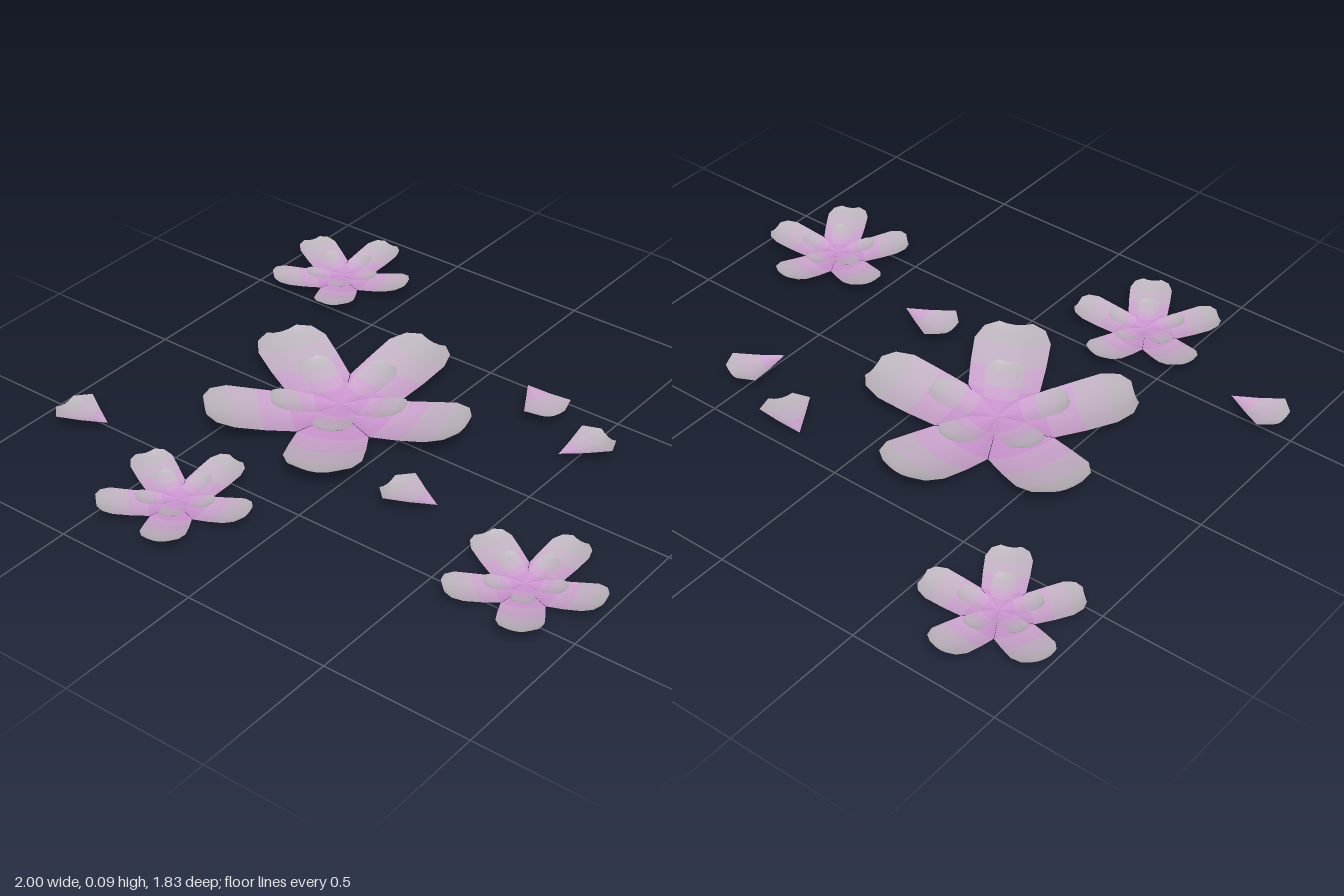
import * as THREE from 'three';

const paint = (color) => new THREE.MeshStandardMaterial({ color, side: THREE.DoubleSide });
// shades from the heart of a blossom to its petal tips
const shades = [0xcb95cf, 0xc9a2cb, 0xc0aec1, 0xbab2ba].map(paint);
const SIDES = 4;

// Cupped petal along +x; each row is [distance, half width, height, shade]
function petalGeometry(rows, cup) {
  const pos = [], index = [];
  const geo = new THREE.BufferGeometry();
  rows.forEach(([r, half, y], i) => {
    for (let j = 0; j <= SIDES; j++) {
      const t = (j / SIDES) * 2 - 1;
      pos.push(r, y + cup * half * t * t, half * t);
    }
    if (i === 0) return;
    const start = index.length;
    for (let j = 0; j < SIDES; j++) {
      const a = (i - 1) * (SIDES + 1) + j, b = a + SIDES + 1;
      if (rows[i - 1][1] > 0) index.push(a, a + 1, b);
      index.push(a + 1, b + 1, b);
    }
    geo.addGroup(start, index.length - start, rows[i][3]);
  });
  geo.setAttribute('position', new THREE.Float32BufferAttribute(pos, 3));
  geo.setIndex(index);
  geo.computeVertexNormals();
  return geo;
}

const outerPetal = petalGeometry([
  [0, 0, 0, 0], [0.16, 0.115, 0.002, 0], [0.26, 0.122, 0.022, 1],
  [0.355, 0.124, 0.045, 2], [0.41, 0.1, 0.06, 3], [0.437, 0.055, 0.072, 3],
], 0.2);
const innerPetal = petalGeometry([
  [0, 0, 0.035, 0], [0.08, 0.055, 0.037, 0], [0.13, 0.06, 0.05, 1],
  [0.185, 0.064, 0.064, 2], [0.213, 0.05, 0.074, 3], [0.226, 0.026, 0.082, 3],
], 0.2);
const loosePetal = petalGeometry([
  [0, 0, 0.042, 1], [0.075, 0.043, 0.033, 1], [0.145, 0.083, 0.03, 2], [0.19, 0.04, 0.038, 3],
], 0.25);

// One ring of five petals
function petalRing(name, geometry) {
  const ring = new THREE.Group();
  ring.name = name;
  for (let i = 0; i < 5; i++) {
    const petal = new THREE.Mesh(geometry, shades);
    petal.name = 'petal';
    petal.rotation.y = THREE.MathUtils.degToRad(11.5 + 72 * i);
    ring.add(petal);
  }
  return ring;
}

function blossom(name, x, z, scale) {
  const flower = new THREE.Group();
  flower.name = name;
  flower.add(petalRing('outerPetals', outerPetal), petalRing('innerPetals', innerPetal));
  flower.position.set(x, 0, z);
  flower.scale.setScalar(scale);
  return flower;
}

export function createModel() {
  const model = new THREE.Group();
  model.name = 'scatteredBlossoms';

  // Large blossom and three small ones
  model.add(blossom('largeBlossom', -0.245, -0.01, 1));
  for (const [x, z] of [[-0.77, -0.68], [0.75, 0.38], [-0.33, 0.68]]) {
    model.add(blossom('smallBlossom', x, z, 0.56));
  }

  // Fallen petals: position of the pointed end and heading in degrees
  for (const [x, z, angle] of [
    [0.176, -0.46, -30], [0.475, -0.195, 68], [0.335, 0.25, 180], [-0.76, 0.53, 180],
  ]) {
    const petal = new THREE.Mesh(loosePetal, shades);
    petal.name = 'fallenPetal';
    petal.position.set(x, 0, z);
    petal.rotation.y = THREE.MathUtils.degToRad(angle);
    model.add(petal);
  }
  return model;
}
